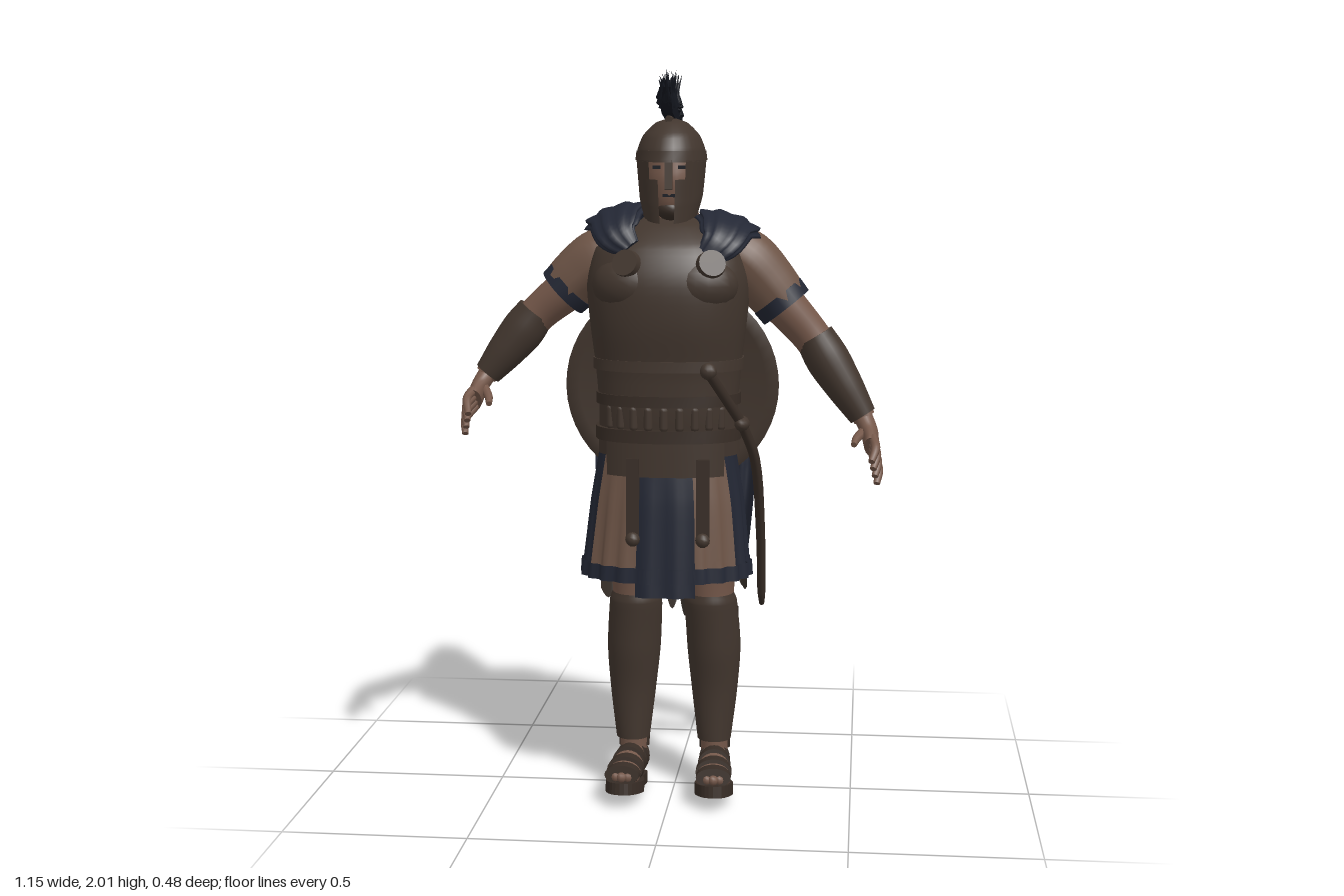
import * as THREE from 'three';
import { ParametricGeometry } from 'three/addons/geometries/ParametricGeometry.js';

const V = (x, y, z) => new THREE.Vector3(x, y, z);
const rad = THREE.MathUtils.degToRad;
const AX = { x: V(1, 0, 0), y: V(0, 1, 0), z: V(0, 0, 1) };
const mat = (name, color) => Object.assign(new THREE.MeshStandardMaterial({ color, side: THREE.DoubleSide }), { name });

// Smooth loft through rows of [x, y, z, radiusU, radiusV]; "dir" fixes the ring axis, a0..a1 leaves the ring open
function sweep(rows, { ref = 'z', dir = null, sides = 24, steps = rows.length * 4, a0 = 0, a1 = 360, pow = 1, mod = null } = {}) {
  const path = new THREE.CatmullRomCurve3(rows.map(r => V(r[0], r[1], r[2])));
  const size = new THREE.CatmullRomCurve3(rows.map(r => V(r[3], r[4] ?? r[3], 0)));
  const closed = a1 - a0 >= 360, cols = closed ? sides : sides + 1;
  const pos = [], idx = [];
  const shape = c => Math.sign(c) * Math.abs(c) ** pow;
  for (let i = 0; i <= steps; i++) {
    const k = i / steps, p = path.getPoint(k), r = size.getPoint(k);
    const t = dir ? AX[dir] : path.getTangent(k);
    const u = t.clone().cross(AX[ref]).normalize(), v = u.clone().cross(t).normalize();
    for (let j = 0; j < cols; j++) {
      const a = rad(a0 + (a1 - a0) * j / sides), m = mod ? mod(a, k) : 1;
      const q = p.clone().addScaledVector(u, shape(Math.cos(a)) * r.x * m).addScaledVector(v, shape(Math.sin(a)) * r.y * m);
      pos.push(q.x, q.y, q.z);
    }
  }
  for (let i = 0; i < steps; i++) for (let j = 0; j < sides; j++) {
    const a = i * cols + j, b = i * cols + (j + 1) % cols;
    idx.push(a, a + cols, b, b, a + cols, b + cols);
  }
  if (closed) for (const end of [0, steps]) {
    const p = path.getPoint(end / steps), c = pos.length / 3, s = end * cols;
    pos.push(p.x, p.y, p.z);
    for (let j = 0; j < cols; j++) pos.push(...pos.slice((s + j) * 3, (s + j) * 3 + 3));
    for (let j = 0; j < cols; j++) {
      const a = c + 1 + j, b = c + 1 + (j + 1) % cols;
      idx.push(...(end ? [c, b, a] : [c, a, b]));
    }
  }
  const g = new THREE.BufferGeometry();
  g.setAttribute('position', new THREE.Float32BufferAttribute(pos, 3));
  g.setIndex(idx);
  g.computeVertexNormals();
  return g;
}

export function createModel() {
  const root = new THREE.Group();
  const skin = mat('skin', 0x75584a), tunic = mat('tunic', 0x6e5547), bronze = mat('bronze', 0x42362e);
  const leather = mat('leather', 0x382d26), blue = mat('blueCloth', 0x232734), hair = mat('crestHair', 0x14171f), fray = mat('frayedHem', 0x3a322c);
  const add = (name, geo, m, parent = root, x = 0, y = 0, z = 0) => {
    const mesh = new THREE.Mesh(geo, m);
    mesh.name = name;
    mesh.position.set(x, y, z);
    parent.add(mesh);
    return mesh;
  };
  const box = (w, h, d) => new THREE.BoxGeometry(w, h, d);
  const flat = { dir: 'y' };
  let seed = 7;
  const rnd = () => (seed = (seed * 16807) % 2147483647) / 2147483647;

  // Cuirass
  const body = { ...flat, sides: 36, pow: 0.85 };
  add('cuirass', sweep([[-.01, .97, .05, .195, .13], [-.01, 1.08, .065, .19, .135], [-.01, 1.2, .065, .198, .145], [-.01, 1.33, .07, .213, .165],
    [-.01, 1.44, .062, .222, .175], [-.01, 1.53, .045, .205, .16], [-.01, 1.59, .025, .13, .11], [-.01, 1.615, .02, .07, .06]], body), bronze);
  for (const s of [-1, 1]) {
    add('chestPlate', new THREE.SphereGeometry(1, 20, 14), bronze, root, s * .088 - .01, 1.435, .15).scale.set(.11, .085, .085);
    const disc = add('brooch', new THREE.CylinderGeometry(.036, .04, .025, 20), bronze, root, s * .113 + .005, 1.495, .212);
    disc.rotation.set(1.2, 0, -s * .3);
    add('beltStrap', box(.035, .22, .012), leather, root, s * .095, .86, .195);
    add('strapTip', new THREE.SphereGeometry(.02, 10, 8), bronze, root, s * .095, .75, .2);
  }
  // Belts and apron
  const band = (name, y, h, rx, rz, m) => add(name, sweep([[-.01, y - h / 2, .065, rx, rz], [-.01, y + h / 2, .065, rx, rz]], { ...body, steps: 1 }), m);
  band('lowerBelt', 1.03, .035, .2, .144, leather);
  band('upperBelt', 1.125, .03, .198, .145, leather);
  band('ribBelt', 1.22, .03, .206, .154, bronze);
  for (let i = 0; i < 9; i++) {
    const a = rad(40 + i * 12.5);
    add('beltStud', new THREE.CapsuleGeometry(.012, .045, 3, 8), bronze, root, Math.cos(a) * .195 - .01, 1.078, .065 + Math.sin(a) * .135);
  }
  add('apron', sweep([[-.01, .92, .062, .2, .14], [-.01, 1.02, .062, .202, .142]], { ...body, a0: 40, a1: 140 }), bronze);

  // Pleated skirt in coloured panels
  const pleat = (a, k) => 1 + .03 * k * Math.cos(22 * a);
  const panel = (name, a0, a1, m, low = .66, out = 0) => add(name, sweep([[-.015, .98, .05, .188 + out, .127 + out], [-.015, .84, .05, .21 + out, .143 + out],
    [-.018, low, .052, .228 + out, .155 + out]], { ...flat, a0, a1, sides: Math.ceil((a1 - a0) / 4), pow: .9, mod: pleat }), m);
  panel('skirtBack', 147, 393, blue, .65);
  panel('skirtPanel', 33, 76, tunic);
  panel('skirtPanel', 104, 147, tunic);
  panel('frontCloth', 69, 106, blue, .59, .006);
  add('skirtHem', sweep([[-.018, .628, .052, .234, .159], [-.018, .67, .052, .231, .157]], { ...flat, sides: 90, a0: 0, a1: 359.9, pow: .9, mod: a => pleat(a, 1) }), blue);

  // Neck, face and beard
  add('neck', sweep([[0, 1.57, .02, .075], [0, 1.68, .035, .06]], flat), skin);
  add('face', sweep([[0, 1.62, .085, .035, .05], [0, 1.66, .075, .062, .075], [0, 1.73, .057, .08, .1], [0, 1.8, .045, .078, .1]], flat), skin);
  add('beard', new THREE.SphereGeometry(.04, 14, 10), leather, root, 0, 1.635, .108).scale.set(1, .75, 1.05);
  for (const s of [-1, 1]) add('eye', box(.022, .009, .008), hair, root, s * .034, 1.747, .146);
  add('mouth', box(.035, .008, .008), hair, root, 0, 1.672, .148);

  // Helmet
  add('helmetDome', sweep([[-.005, 1.76, .04, .094, .135], [-.005, 1.79, .04, .092, .13], [-.005, 1.83, .038, .077, .108], [-.005, 1.865, .035, .042, .06], [-.005, 1.878, .035, .004, .005]],
    { ...flat, sides: 32 }), bronze);
  const shell = (name, a0, a1, y0, y1, out) => {
    const g = sweep([[-.005, y0, .06, .074 + out, .108 + out], [-.005, y0 + .05, .047, .085 + out, .125 + out], [-.005, y1, .04, .094 + out, .135 + out]], { ...flat, a0, a1, sides: 28 });
    const p = g.attributes.position;
    for (let i = 0; i < p.count; i++) p.setY(i, p.getY(i) + Math.max(0, 1.75 - p.getY(i)) * (.16 - p.getZ(i)) * 1.6);
    g.computeVertexNormals();
    return add(name, g, bronze);
  };
  shell('helmetSide', 122, 418, 1.6, 1.765, 0);
  shell('cheekGuard', 104, 135, 1.6, 1.715, .003);
  shell('cheekGuard', 45, 76, 1.6, 1.715, .003);
  add('browBand', sweep([[-.005, 1.765, .04, .097, .138], [-.005, 1.79, .04, .094, .134]], { ...flat, sides: 32, steps: 1 }), bronze);
  add('noseGuard', box(.02, .085, .016), bronze, root, 0, 1.73, .168).rotation.x = -.1;

  // Crest: solid core with bristles along its outer edge
  const outer = [[.18, 1.955], [.12, 1.94], [.04, 1.955], [-.05, 1.94], [-.105, 1.885], [-.14, 1.8], [-.135, 1.64]];
  const inner = [[-.118, 1.67], [-.112, 1.75], [-.085, 1.82], [-.02, 1.87], [.04, 1.875], [.12, 1.89]];
  const crest = new THREE.ExtrudeGeometry(new THREE.Shape([...outer, ...inner].map(p => new THREE.Vector2(...p))), { depth: .03, bevelEnabled: false });
  add('crestCore', crest.rotateY(-Math.PI / 2).translate(.006, 0, 0), hair);
  const edge = new THREE.CatmullRomCurve3(outer.map(p => V(0, p[1], p[0])));
  for (let i = 0; i < 150; i++) {
    const k = i / 149, p = edge.getPoint(k * .97), n = V((rnd() - .5) * .12, p.y - 1.77, p.z - .03).normalize();
    n.x = (rnd() - .5) * .6;
    if (k > .8) n.set((rnd() - .5) * .3, -1, -.15);
    n.normalize();
    const len = .06 + rnd() * .04;
    const c = add('crestBristle', new THREE.ConeGeometry(.008, len, 4), hair, root, -.009 + (rnd() - .5) * .03, p.y, p.z);
    c.quaternion.setFromUnitVectors(AX.y, n);
    c.position.addScaledVector(n, len * .22 - .018);
  }
  add('crestRidge', sweep([[-.008, 1.872, .09, .01], [-.008, 1.88, .03, .01], [-.008, 1.85, -.05, .01], [-.008, 1.76, -.095, .01]], { ref: 'x', sides: 8 }), bronze);

  // Shoulder drapes
  for (const s of [-1, 1]) {
    const g = new THREE.Group();
    g.name = 'shoulderDrape';
    g.position.set(s * .143, 1.565 + (s < 0 ? .02 : 0), 0);
    g.rotation.z = -s * .3;
    root.add(g);
    add('drapeCloth', sweep([[-s * .025, -.06, .185, .012, .028], [0, -.015, .165, .022, .055], [0, .022, .1, .026, .07], [0, .022, 0, .026, .07], [0, -.025, -.08, .024, .066], [0, -.12, -.13, .02, .05]],
      { ref: 'x', sides: 36, mod: a => 1 + .09 * Math.cos(9 * a) }), blue, g);
  }

  // Arms
  for (const s of [-1, 1]) {
    const g = new THREE.Group();
    g.name = s > 0 ? 'leftArm' : 'rightArm';
    root.add(g);
    const drop = s > 0 ? .26 : -.07;
    const P = (x, y, z, r, r2 = r) => [s * x, y - drop * (x - .2), z, r, r2];
    add('arm', sweep([P(.2, 1.49, .02, .07), P(.29, 1.41, .02, .06), P(.375, 1.335, .01, .052), P(.43, 1.27, .012, .05), P(.525, 1.15, .03, .031)]), skin, g);
    add('sleeve', sweep([P(.13, 1.52, .025, .07, .085), P(.2, 1.492, .022, .086, .098), P(.26, 1.445, .02, .08, .09), P(.305, 1.4, .02, .073, .08)],
      { mod: a => 1 + .03 * Math.cos(7 * a) }), tunic, g);
    add('sleeveCuff', sweep([P(.283, 1.42, .02, .079, .085), P(.308, 1.395, .02, .077, .083)], { steps: 2 }), blue, g);
    add('bracer', sweep([P(.385, 1.335, .01, .054, .056), P(.42, 1.285, .012, .06), P(.47, 1.22, .02, .052), P(.52, 1.155, .028, .038)]), bronze, g);
    add('palm', sweep([P(.52, 1.155, .03, .026), P(.538, 1.12, .055, .024, .034), P(.545, 1.085, .095, .02, .042)], { sides: 16 }), skin, g);
    for (let i = 0; i < 4; i++) {
      const o = (i - 1.5) * .02;
      add('finger', sweep([P(.548, 1.09 + o * .8, .09 + o * .4, .013), P(.565 - i * .003, 1.065 + o, .135 + o * .3, .012), P(.56 - i * .005, 1.03 + o, .168 + o * .5, .009)], { sides: 8 }), skin, g);
    }
    add('thumb', sweep([P(.525, 1.12, .06, .014), P(.505, 1.1, .1, .012), P(.497, 1.085, .135, .008)], { sides: 8 }), skin, g);
  }

  // Legs, greaves and sandals
  for (const s of [-1, 1]) {
    const g = new THREE.Group();
    g.name = s > 0 ? 'leftLeg' : 'rightLeg';
    root.add(g);
    const leg = [[.1, .8, .04, .088, .1], [.1, .66, .04, .078, .086], [.105, .55, .038, .064, .074], [.112, .43, .018, .066, .08], [.115, .3, .018, .056, .06], [.115, .15, .028, .038, .043], [.115, .08, .025, .038, .042]]
      .map(([x, ...r]) => [s * x, ...r]);
    add('leg', sweep(leg, flat), skin, g);
    const plate = leg.slice(2, 6).map(([x, y, z, a, b]) => [x, y, z + .004, a + .009, b + .008]);
    add('greave', sweep([[s * .105, .575, .048, .064, .072], ...plate], { ...flat, a0: -40, a1: 220 }), bronze, g);
    for (const [y, z, a, b] of [[.5, .028, .069, .08], [.4, .018, .069, .08], [.31, .018, .06, .065], [.19, .026, .046, .051]])
      add('greaveStrap', sweep([[s * .113, y, z, a, b], [s * .113, y + .025, z, a, b]], { ...flat, steps: 1, a0: 0, a1: 359.9 }), leather, g);

    const foot = new THREE.Group();
    foot.name = 'foot';
    foot.position.set(s * .115, .004, .015);
    foot.rotation.set(-.16, s * .06, 0, 'YXZ');
    g.add(foot);
    const outline = new THREE.Shape(new THREE.SplineCurve([[0, -.03], [.036, -.005], [.04, .08], [.054, .16], [.025, .225], [-.025, .222], [-.052, .16], [-.04, .08], [-.036, -.005], [0, -.03]]
      .map(p => new THREE.Vector2(...p))).getPoints(40));
    add('sole', new THREE.ExtrudeGeometry(outline, { depth: .032, bevelEnabled: false }).rotateX(Math.PI / 2).translate(0, .033, 0), leather, foot);
    add('instep', sweep([[0, .07, -.022, .025, .035], [0, .08, .01, .04, .055], [0, .072, .07, .04, .052], [0, .056, .14, .047, .036], [0, .05, .195, .04, .024]], { ref: 'y', dir: 'z' }), skin, foot);
    for (let i = 0; i < 5; i++) add('toe', new THREE.SphereGeometry(.014, 8, 6), skin, foot, (i - 2) * .017, .046, .206 - Math.abs(i - 2) * .007);
    for (const [z, y, a, b] of [[-.018, .074, .04, .048], [.025, .077, .044, .055], [.075, .07, .046, .053], [.125, .06, .05, .042], [.172, .053, .048, .031]])
      add('sandalStrap', sweep([[0, y, z, a, b], [0, y - .001, z + .034, a, b - .005]], { ref: 'y', dir: 'z', steps: 1 }), leather, foot);
    add('ankleStrap', sweep([[0, .11, .012, .043, .046], [0, .14, .012, .043, .046]], { ...flat, steps: 1 }), leather, foot);
  }

  // Shield on the back, bulging to the rear
  const dish = new THREE.LatheGeometry([[0, .045], [.12, .04], [.23, .02], [.265, .008], [.3, .008], [.302, -.008], [.265, -.008], [.2, .004], [0, .02]]
    .map(p => new THREE.Vector2(...p)).reverse(), 48);
  add('shield', dish.rotateX(-Math.PI / 2), bronze, root, -.02, 1.13, -.135).rotation.set(.1, .07, 0);

  // Cape hanging in swagged folds with a ragged hem
  const capePoint = (u, v, out) => {
    const a = 2 * u - 1, w = .155 + .055 * v + .045 * Math.sin(Math.PI * v), m = THREE.MathUtils.smoothstep(v, 0, .35);
    const swag = m * (1 - THREE.MathUtils.smoothstep(v, .35, .75));
    const bottom = .64 + .03 * Math.sin(u * 9);
    out.set(a * w - .012, THREE.MathUtils.lerp(1.5 - .08 * (1 - a * a), bottom, v),
      -.125 - .092 * m + .1 * a ** 4 * v + .016 * Math.sin(u * 42 + 2.5 * v) * m * (1 - .6 * swag) + .016 * swag * Math.sin(55 * (v + .16 * a * a)));
  };
  add('cape', new ParametricGeometry(capePoint, 70, 60), blue);
  add('capeFringe', new ParametricGeometry((u, v, out) => {
    capePoint(u, 1, out);
    out.y -= v * (.04 + .07 * Math.abs(Math.sin(u * 31)) + .06 * Math.abs(Math.sin(u * 11 + 2)));
    out.z += v * .02;
  }, 80, 3), fray);

  // Sheathed sword at the left hip
  add('swordGrip', sweep([[.115, 1.2, .205, .014], [.19, 1.07, .135, .014]], { sides: 10 }), leather);
  add('swordPommel', new THREE.SphereGeometry(.023, 12, 8), bronze, root, .11, 1.21, .205);
  add('swordGuard', new THREE.SphereGeometry(.035, 12, 8), bronze, root, .195, 1.06, .125).scale.set(.6, .6, 1.1);
  add('scabbard', sweep([[.195, 1.06, .125, .014, .026], [.226, .95, .045, .014, .028], [.236, .72, -.08, .013, .028], [.235, .54, -.165, .012, .032], [.235, .49, -.19, .008, .014]], { sides: 12 }), leather);
  return root;
}
